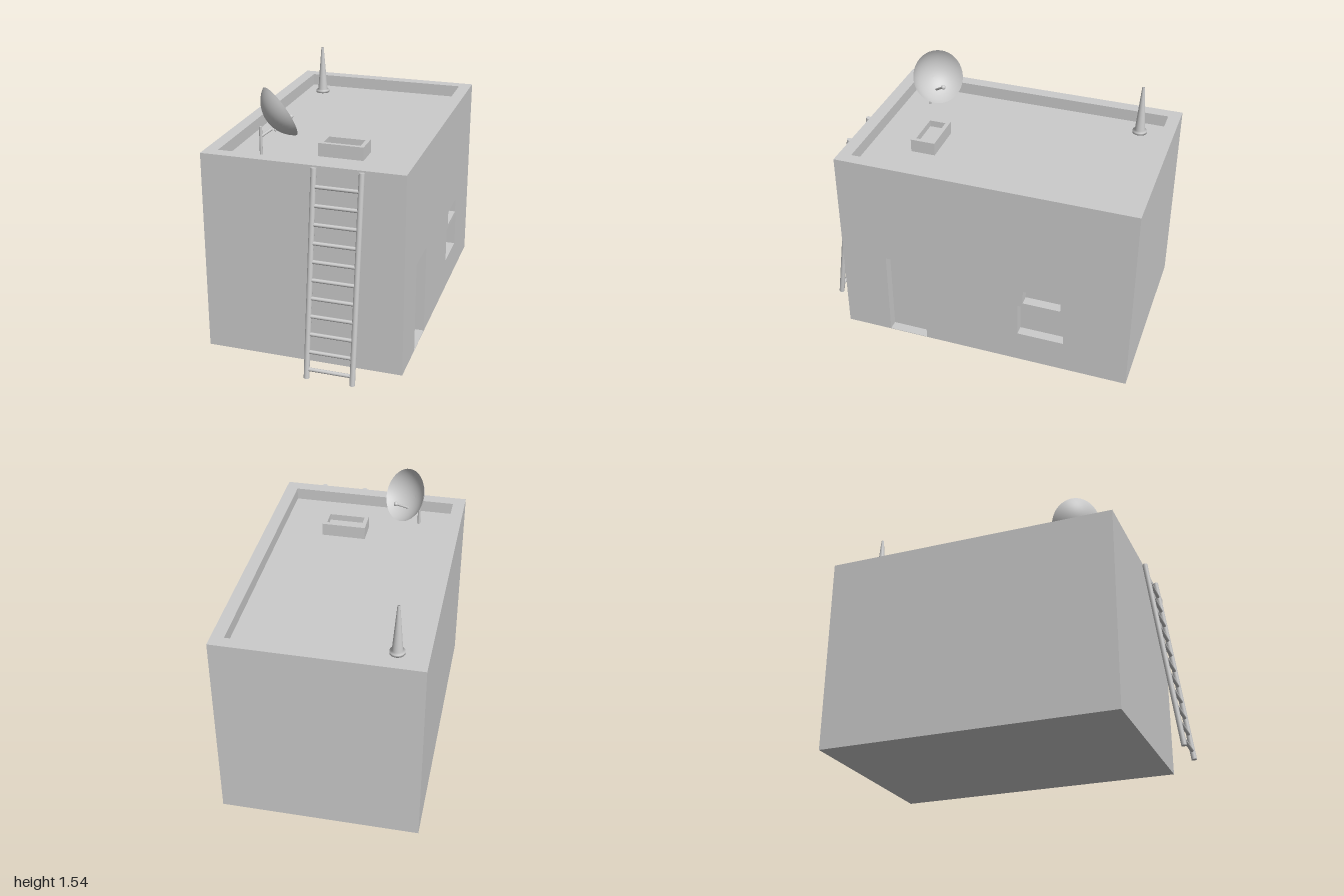
import * as THREE from 'three';

const mat = new THREE.MeshStandardMaterial({ color: 0xcccccc });
const thinMat = new THREE.MeshStandardMaterial({ color: 0xcccccc, side: THREE.DoubleSide });
const V = (x, y, z) => new THREE.Vector3(x, y, z);

function mesh(name, geometry, material = mat) {
  const m = new THREE.Mesh(geometry, material);
  m.name = name;
  return m;
}

function box(name, x0, x1, y0, y1, z0, z1) {
  const m = mesh(name, new THREE.BoxGeometry(x1 - x0, y1 - y0, z1 - z0));
  m.position.set((x0 + x1) / 2, (y0 + y1) / 2, (z0 + z1) / 2);
  return m;
}

// Round bar between two points
function rod(name, a, b, r, sides = 12) {
  const m = mesh(name, new THREE.CylinderGeometry(r, r, a.distanceTo(b), sides));
  m.position.copy(a).add(b).multiplyScalar(0.5);
  m.quaternion.setFromUnitVectors(V(0, 1, 0), b.clone().sub(a).normalize());
  return m;
}

function rect(Type, u0, u1, v0, v1) {
  return new Type([[u0, v0], [u1, v0], [u1, v1], [u0, v1]].map(p => new THREE.Vector2(...p)));
}

// Rectangular slab with rectangular openings
function slab(outer, holes, depth) {
  const shape = rect(THREE.Shape, ...outer);
  for (const h of holes) shape.holes.push(rect(THREE.Path, ...h));
  return new THREE.ExtrudeGeometry(shape, { depth, bevelEnabled: false });
}

// Horizontal frame lying on height y
function frame(name, outer, inner, y, height) {
  const flip = ([x0, x1, z0, z1]) => [x0, x1, -z1, -z0];
  const m = mesh(name, slab(flip(outer), [flip(inner)], height).rotateX(-Math.PI / 2));
  m.position.y = y;
  return m;
}

const BASE = 0.005, ROOF = 1.145, TOP = 1.22;
const X = 0.592, Z0 = -1, Z1 = 0.805, RECESS = 0.06;

function createBuilding() {
  const g = new THREE.Group();
  g.name = 'building';
  g.add(box('buildingBody', -X, X - RECESS, BASE, ROOF, Z0, Z1));

  // Side wall with door and two window recesses
  const openings = [
    [-0.52, -0.275, BASE + 0.003, 0.568],
    [0.32, 0.605, 0.208, 0.425],
    [0.35, 0.58, 0.453, 0.54],
  ];
  const wall = mesh('doorWall', slab([-Z1, -Z0, BASE, ROOF], openings, RECESS).rotateY(Math.PI / 2));
  wall.position.x = X - RECESS;
  g.add(wall);

  g.add(frame('parapet', [-X, X, Z0, Z1], [-0.517, 0.517, -0.925, 0.728], ROOF, TOP - ROOF));
  return g;
}

function createRoofHatch() {
  const g = new THREE.Group();
  g.name = 'roofHatch';
  g.add(frame('hatchCurb', [-0.015, 0.255, 0.315, 0.465], [0.01, 0.23, 0.34, 0.44], ROOF, 0.08));
  g.add(box('hatchPanel', 0.01, 0.23, ROOF, ROOF + 0.04, 0.34, 0.44));
  return g;
}

function createLadder() {
  const g = new THREE.Group();
  g.name = 'ladder';
  const foot = V(0, 0.002, 0.984), head = V(0, 1.212, 0.819);
  for (const x of [0.08, 0.35]) {
    g.add(rod('ladderRail', foot.clone().setX(x), head.clone().setX(x), 0.0165));
  }
  for (let i = 0; i < 11; i++) {
    const y = 0.056 + i * 0.1053;
    const p = foot.clone().lerp(head, (y - foot.y) / (head.y - foot.y));
    g.add(rod('ladderRung', p.clone().setX(0.08), p.clone().setX(0.35), 0.011));
  }
  return g;
}

function createMast() {
  // Tapered mast on a round flange
  const profile = [[0, 0], [0.044, 0], [0.044, 0.015], [0.031, 0.022], [0.008, 0.31], [0, 0.31]];
  const geo = new THREE.LatheGeometry(profile.map(p => new THREE.Vector2(...p)), 24);
  const m = mesh('mast', geo);
  m.position.set(-0.402, ROOF, -0.777);
  return m;
}

function createDish() {
  const g = new THREE.Group();
  g.name = 'satelliteDish';

  // Spherical bowl, its vertex at the origin and opening along +y
  const R = 0.164, depth = 0.09;
  const S = (R * R + depth * depth) / (2 * depth), sweep = Math.asin(R / S);
  const profile = [];
  for (let i = 0; i <= 12; i++) {
    const a = (sweep * i) / 12;
    profile.push(new THREE.Vector2(S * Math.sin(a), S * (1 - Math.cos(a))));
  }
  const axis = V(0.623, 0.453, -0.638).normalize();
  const bowl = mesh('dishBowl', new THREE.LatheGeometry(profile, 40), thinMat);
  bowl.quaternion.setFromUnitVectors(V(0, 1, 0), axis);
  bowl.position.set(-0.237, 1.395, 0.478).addScaledVector(axis, -depth);
  g.add(bowl);

  // Feed arm with ball end
  const feed = V(-0.19, 1.354, 0.428);
  g.add(rod('feedArm', V(-0.259, 1.288, 0.508), feed, 0.007));
  const ball = mesh('feedBall', new THREE.SphereGeometry(0.014, 16, 12));
  ball.position.copy(feed);
  g.add(ball);

  // Post and bracket
  g.add(rod('dishPost', V(-0.32, ROOF, 0.572), V(-0.32, 1.328, 0.572), 0.009));
  g.add(rod('dishBracket', V(-0.32, 1.268, 0.572), V(-0.268, 1.305, 0.53), 0.009));
  return g;
}

export function createModel() {
  const model = new THREE.Group();
  model.name = 'rooftopBuilding';
  model.add(createBuilding(), createRoofHatch(), createLadder(), createMast(), createDish());
  return model;
}
